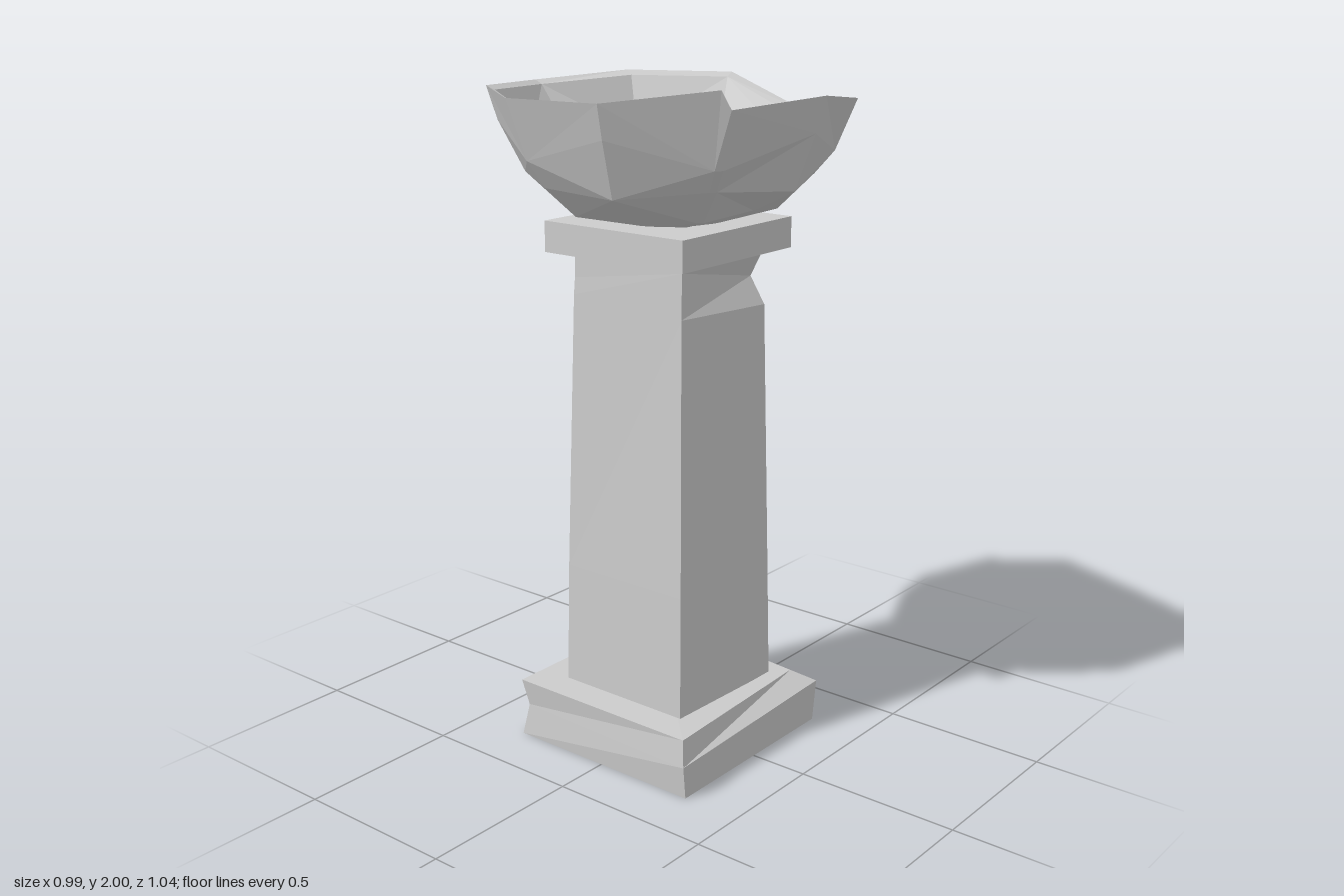
import * as THREE from 'three';

const stone = new THREE.MeshStandardMaterial({ color: 0xcccccc, flatShading: true });

// Skins a stack of equal-length loops (counter-clockwise seen from above) and caps both ends.
function loft(name, loops, alternate = false) {
  const pos = [];
  const tri = (...pts) => pts.forEach((p) => pos.push(...p));
  const n = loops[0].length;
  for (let j = 0; j < loops.length - 1; j++) {
    for (let i = 0; i < n; i++) {
      const k = (i + 1) % n;
      const a = loops[j][i], b = loops[j][k], c = loops[j + 1][k], d = loops[j + 1][i];
      if (alternate && (i + j) % 2) { tri(a, b, d); tri(b, c, d); }
      else { tri(a, b, c); tri(a, c, d); }
    }
  }
  const first = loops[0], last = loops[loops.length - 1];
  for (let i = 1; i < n - 1; i++) {
    tri(first[0], first[i + 1], first[i]);
    tri(last[0], last[i], last[i + 1]);
  }
  const geo = new THREE.BufferGeometry();
  geo.setAttribute('position', new THREE.Float32BufferAttribute(pos, 3));
  geo.computeVertexNormals();
  const mesh = new THREE.Mesh(geo, stone);
  mesh.name = name;
  return mesh;
}

// Plinth corners run front left-hand, front right-hand, back right-hand, back left-hand on screen.
function makePlinth() {
  return loft('plinth', [
    [[-0.33, 0, 0.32], [0.31, 0, 0.32], [0.31, 0, -0.32], [-0.33, 0, -0.32]],
    [[-0.34, 0.1, 0.32], [0.32, 0.13, 0.325], [0.315, 0.11, -0.315], [-0.32, 0.1, -0.3]],
    [[-0.33, 0.18, 0.31], [0.27, 0.165, 0.26], [0.31, 0.18, -0.32], [-0.33, 0.18, -0.32]],
  ]);
}

// Tapered shaft with worn side and back faces and a dent under the cap.
function makeShaft() {
  return loft('shaft', [
    [[-0.23, 0.17, 0.22], [0.21, 0.17, 0.22], [0.212, 0.17, -0.08], [0.21, 0.17, -0.22], [0.1, 0.17, -0.222], [-0.23, 0.17, -0.22]],
    [[-0.222, 0.55, 0.215], [0.2, 0.55, 0.215], [0.23, 0.65, -0.1], [0.2, 0.55, -0.215], [0.1, 0.45, -0.255], [-0.222, 0.55, -0.215]],
    [[-0.202, 1.36, 0.2], [0.183, 1.34, 0.2], [0.187, 1.38, -0.1], [0.182, 1.38, -0.195], [0.08, 1.38, -0.198], [-0.202, 1.38, -0.195]],
    [[-0.2, 1.49, 0.2], [0.175, 1.42, 0.155], [0.185, 1.43, -0.1], [0.18, 1.43, -0.192], [0.08, 1.43, -0.194], [-0.2, 1.43, -0.192]],
    [[-0.2, 1.51, 0.2], [0.18, 1.51, 0.2], [0.183, 1.51, -0.1], [0.18, 1.51, -0.19], [0.08, 1.51, -0.19], [-0.2, 1.51, -0.19]],
  ]);
}

function makeCap() {
  const cap = new THREE.Mesh(new THREE.BoxGeometry(0.5, 0.09, 0.5), stone);
  cap.position.set(-0.01, 1.55, 0);
  cap.name = 'cap';
  return cap;
}

// Ten-sided bowl; one column is doubled to make the step in the broken rim.
function makeBowl() {
  const angles = [0, 36, 71, 108, 144, 180, 216, 252, 288, 323, 326].map(THREE.MathUtils.degToRad);
  const rimY = [1.97, 1.935, 1.85, 1.965, 1.97, 1.955, 1.965, 1.96, 1.965, 2, 1.95];
  const lipR = [0.46, 0.43, 0.465, 0.48, 0.47, 0.495, 0.495, 0.5, 0.5, 0.495, 0.46];
  const wobble = (i, j) => 0.012 * Math.sin(i * 2.3 + j * 4.1);
  const ring = (j, radius, height) => angles.map((a, i) => {
    const col = Math.min(i, 9);
    const r = radius(col, i), y = height(col, i);
    return [Math.sin(a) * r, y, Math.cos(a) * r];
  });
  const rough = (j, r, y) => ring(j, (c) => r + wobble(c, j), (c) => y + wobble(c, j + 1));
  return loft('bowl', [
    // outside, from the foot up
    ring(0, () => 0.14, () => 1.59),
    rough(1, 0.3, 1.635),
    rough(2, 0.415, 1.715),
    ring(3, (c) => (c % 2 ? 0.46 : 0.49), (c, i) => Math.min(c % 2 ? 1.79 : 1.87, rimY[i] - 0.07)),
    // rim
    ring(4, (c) => (c === 2 ? 0.51 : 0.52), (c, i) => rimY[i]),
    ring(5, (c, i) => lipR[i], (c, i) => rimY[i] - 0.012),
    // inside, down to the small recess in the floor
    rough(6, 0.395, 1.79),
    rough(7, 0.295, 1.7),
    ring(8, () => 0.125, () => 1.66),
    ring(9, () => 0.1, () => 1.635),
  ], true);
}

export function createModel() {
  const model = new THREE.Group();
  model.name = 'stoneBasin';
  model.add(makePlinth(), makeShaft(), makeCap(), makeBowl());
  return model;
}
